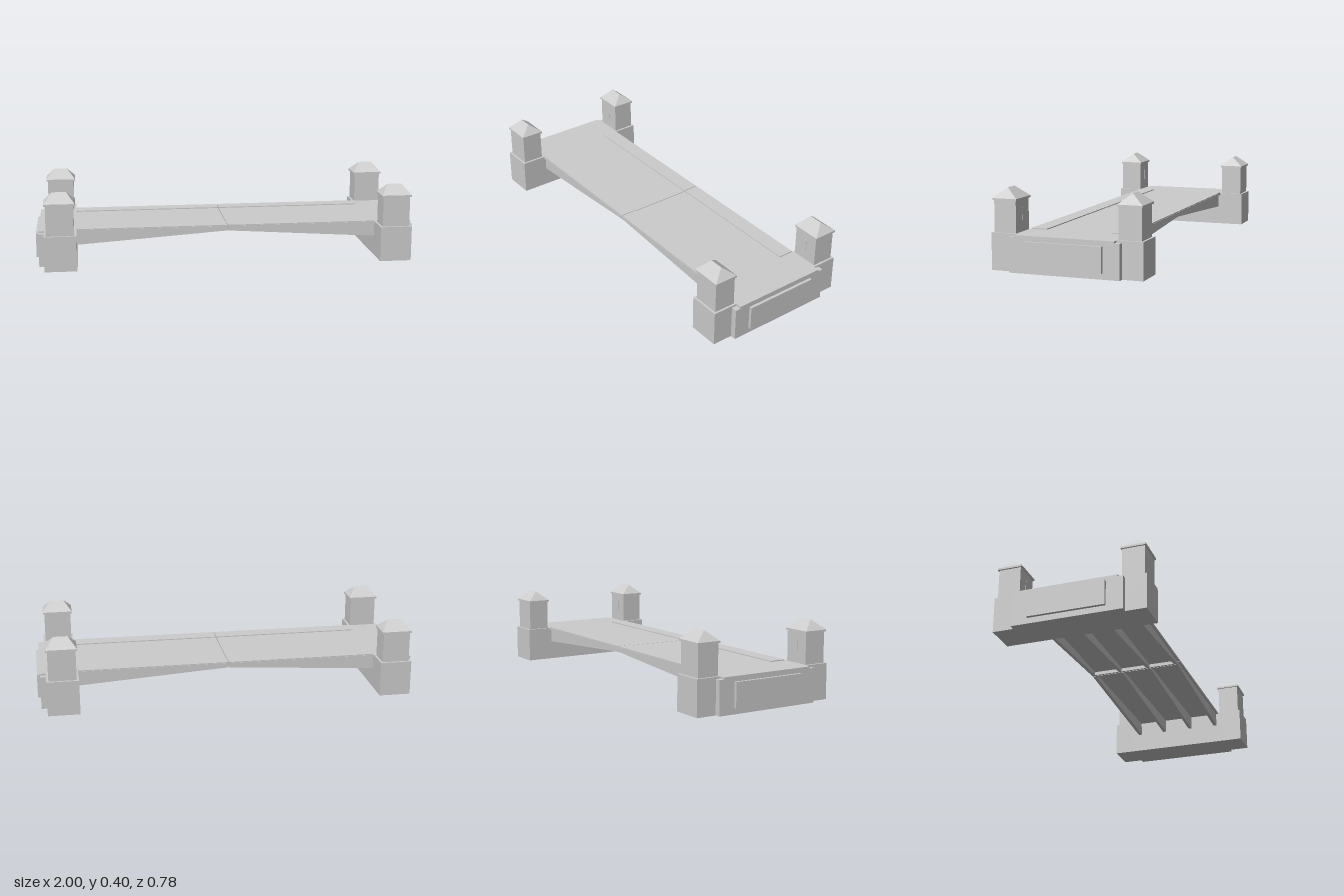
import * as THREE from 'three';

const stone = new THREE.MeshStandardMaterial({ color: 0xcccccc });
stone.name = 'light grey';

function add(group, name, geometry) {
  const mesh = new THREE.Mesh(geometry, stone);
  mesh.name = name;
  group.add(mesh);
  return mesh;
}

// Box given by its lower and upper limits on each axis
function box(group, name, [x0, x1], [y0, y1], [z0, z1]) {
  const geometry = new THREE.BoxGeometry(x1 - x0, y1 - y0, z1 - z0);
  return add(group, name, geometry.translate((x0 + x1) / 2, (y0 + y1) / 2, (z0 + z1) / 2));
}

// Hipped roof: a box whose top face is drawn in to a ridge along x
function hipRoof(halfX, halfZ, height, halfRidge) {
  const geometry = new THREE.BoxGeometry(halfX * 2, height, halfZ * 2).toNonIndexed();
  const p = geometry.attributes.position;
  for (let i = 0; i < p.count; i++) {
    if (p.getY(i) > 0) p.setXYZ(i, Math.sign(p.getX(i)) * halfRidge, height / 2, 0);
  }
  geometry.computeVertexNormals();
  return geometry;
}

// Corner tower; side is +1 or -1 along z
function tower(side) {
  const group = new THREE.Group();
  group.name = 'tower';
  const x = 0.8725, z = 0.319 * side;
  const around = (c, h) => [c - h, c + h];
  box(group, 'towerBase', around(x, 0.0825), [0, 0.183], around(z, 0.069));
  box(group, 'towerShaft', around(x, 0.071), [0.183, 0.34], around(z, 0.057));
  box(group, 'towerCornice', around(x, 0.079), [0.34, 0.35], around(z, 0.063));
  add(group, 'towerRoof', hipRoof(0.079, 0.063, 0.05, 0.036)).position.set(x, 0.375, z);
  // Slit window on the face towards the roadway
  box(group, 'slitWindow', around(x, 0.006), [0.24, 0.3], around(side * 0.262, 0.002));
  return group;
}

// Tapered girder under one leaf
function girder(z) {
  const shape = new THREE.Shape([
    new THREE.Vector2(0.002, 0.155),
    new THREE.Vector2(0.79, 0.102),
    new THREE.Vector2(0.79, 0.174),
    new THREE.Vector2(0.002, 0.174),
  ]);
  const width = 0.018;
  const geometry = new THREE.ExtrudeGeometry(shape, { depth: width, bevelEnabled: false });
  return geometry.translate(0, 0, z - width / 2);
}

// One half of the bridge, on the +x side
function half() {
  const group = new THREE.Group();
  box(group, 'abutment', [0.79, 0.985], [0, 0.173], [-0.282, 0.282]);
  box(group, 'abutmentPanel', [0.985, 1], [0.03, 0.157], [-0.197, 0.197]);
  box(group, 'deck', [0.002, 0.985], [0.173, 0.183], [-0.255, 0.255]);
  box(group, 'endBeam', [0.002, 0.012], [0.155, 0.173], [-0.24, 0.24]);
  for (const z of [-0.235, -0.08, 0.08, 0.235]) add(group, 'girder', girder(z));
  for (const side of [-1, 1]) {
    const walk = side > 0 ? [0.17, 0.253] : [-0.253, -0.17];
    box(group, 'sidewalk', [0.002, 0.79], [0.178, 0.188], walk);
    group.add(tower(side));
  }
  return group;
}

export function createModel() {
  const model = new THREE.Group();
  model.name = 'bridge';
  const left = half();
  left.name = 'leftHalf';
  const right = half();
  right.name = 'rightHalf';
  right.rotation.y = Math.PI;
  model.add(left, right);
  return model;
}
